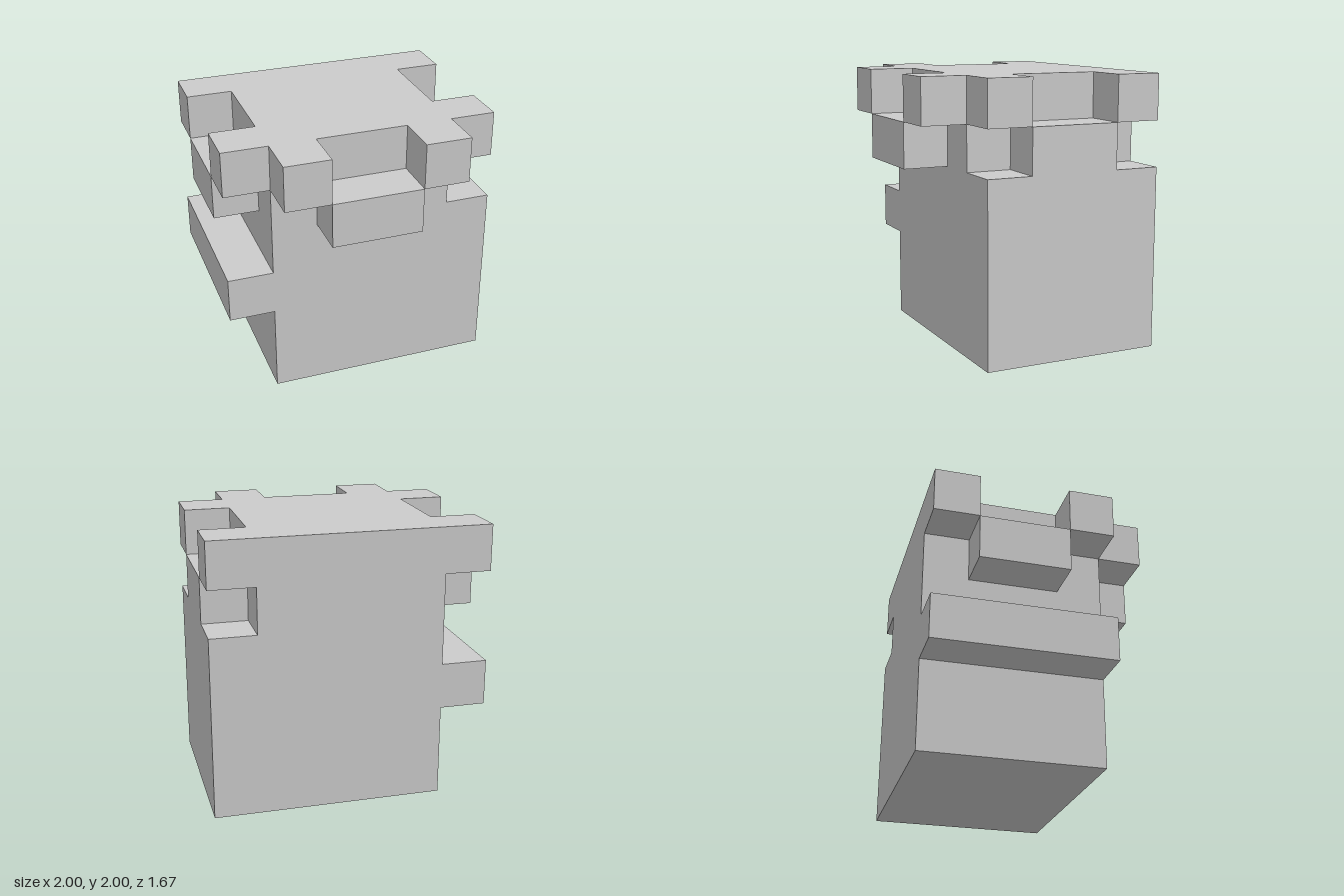
import * as THREE from 'three';

const U = 1 / 3; // one cell of the block grid
const material = new THREE.MeshStandardMaterial({ color: 0xcccccc, flatShading: true });

// Box spanning grid cells: x from -3 to 3, y from 0 to 6, z from -2.5 to 2.5
function block(name, [x0, x1], [y0, y1], [z0, z1]) {
  const geometry = new THREE.BoxGeometry((x1 - x0) * U, (y1 - y0) * U, (z1 - z0) * U);
  const mesh = new THREE.Mesh(geometry, material);
  mesh.name = name;
  mesh.position.set((x0 + x1) / 2 * U, (y0 + y1) / 2 * U, (z0 + z1) / 2 * U);
  return mesh;
}

// Top slab with a notch in the front edge and in each side
function createLid() {
  const half = [[1, 1.5], [1, 2.5], [2, 2.5], [2, 1.5], [3, 1.5], [3, 0.5],
    [2, 0.5], [2, -1.5], [3, -1.5], [3, -2.5]];
  const outline = [...half, ...half.map(([x, z]) => [-x, z]).reverse()];
  const shape = new THREE.Shape(outline.map(([x, z]) => new THREE.Vector2(x * U, -z * U)));
  const geometry = new THREE.ExtrudeGeometry(shape, { depth: U, bevelEnabled: false });
  geometry.rotateX(-Math.PI / 2);
  const lid = new THREE.Mesh(geometry, material);
  lid.name = 'lid';
  lid.position.y = 5 * U;
  return lid;
}

export function createModel() {
  const model = new THREE.Group();
  model.name = 'notchedBox';

  // Main box and the narrower layer under the lid
  model.add(block('body', [-2, 3], [0, 4], [-2.5, 1.5]));
  model.add(block('neck', [-2, 2], [4, 5], [-2.5, 1.5]));
  model.add(createLid());

  // Tabs filling the space below each lid notch
  model.add(block('frontTab', [-1, 1], [4, 5], [1.5, 2.5]));
  model.add(block('leftTab', [2, 3], [4, 5], [-1.5, 0.5]));
  model.add(block('rightTab', [-3, -2], [4, 5], [-1.5, 0.5]));

  // Ledge along the right side
  model.add(block('sideLedge', [-3, -2], [2, 3], [-2.5, 1.5]));

  return model;
}
